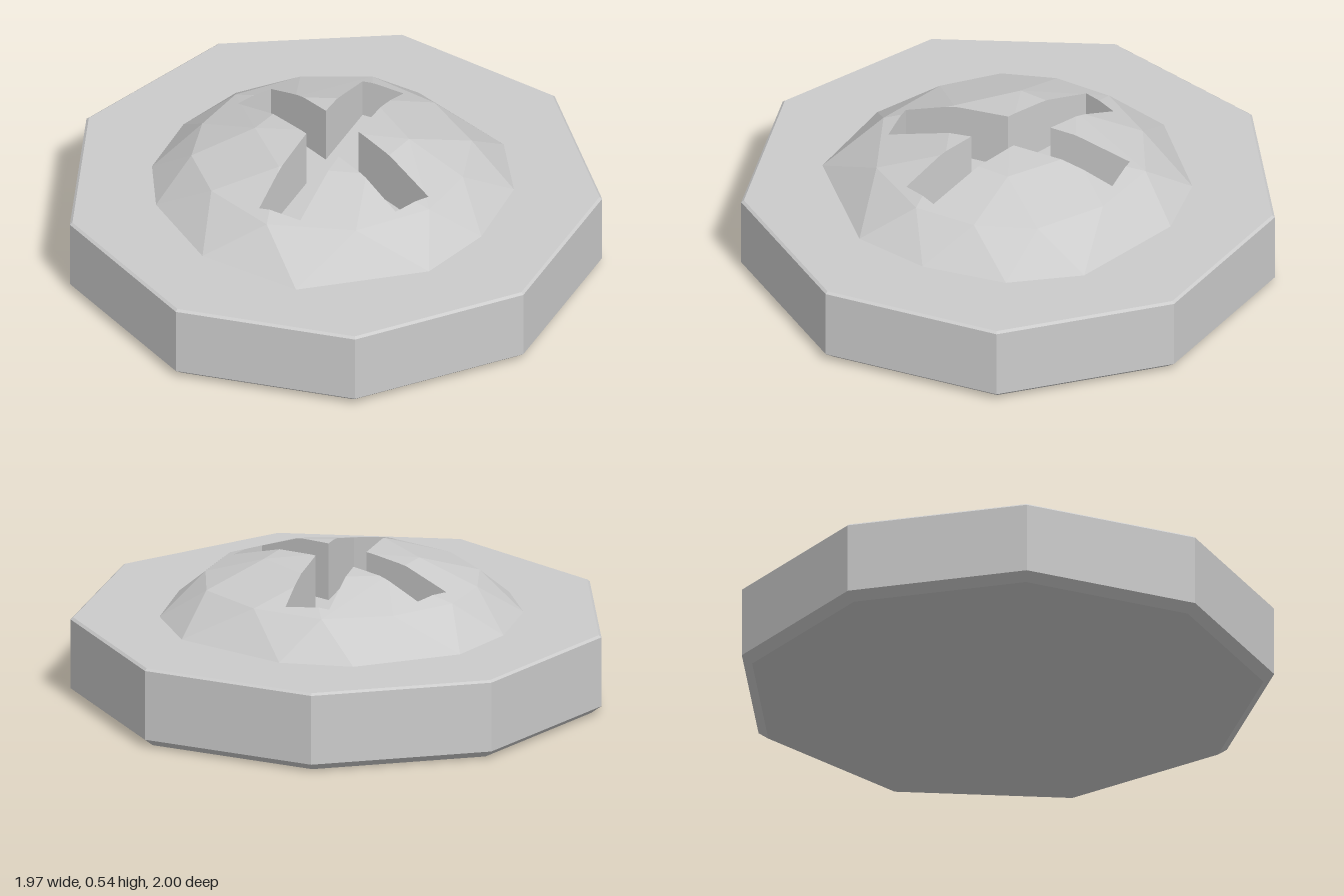
import * as THREE from 'three';

const FLOOR = 0.31, CX = 0.025;
const grey = new THREE.MeshStandardMaterial({ color: 0xcccccc, flatShading: true });

// polygons are lists of [x, y, z], counter-clockwise seen from outside
function polygonsToMesh(name, polygons) {
  const pos = [];
  for (const p of polygons)
    for (let i = 1; i + 1 < p.length; i++) pos.push(...p[0], ...p[i], ...p[i + 1]);
  const g = new THREE.BufferGeometry();
  g.setAttribute('position', new THREE.Float32BufferAttribute(pos, 3));
  g.computeVertexNormals();
  const mesh = new THREE.Mesh(g, grey);
  mesh.name = name;
  return mesh;
}

// positive when (x, z) is to the left of a -> b, seen from above
const side = (a, b, x, z) => (b[1] - a[1]) * (x - a[0]) - (b[0] - a[0]) * (z - a[1]);

// keep the part of a polygon on one side of the line a -> b
function clip(poly, a, b, sign) {
  const out = [];
  poly.forEach((p, i) => {
    const q = poly[(i + 1) % poly.length];
    const sp = sign * side(a, b, p[0], p[2]), sq = sign * side(a, b, q[0], q[2]);
    if (sp >= 0) out.push(p);
    if (sp * sq < 0) out.push(p.map((v, k) => v + (q[k] - v) * sp / (sp - sq)));
  });
  return out;
}

// cut a convex prism out of a list of polygons
function subtract(polys, cutter) {
  const kept = [];
  for (let rest of polys) {
    cutter.forEach((a, i) => {
      const b = cutter[(i + 1) % cutter.length];
      const outside = clip(rest, a, b, -1);
      if (outside.length > 2) kept.push(outside);
      rest = clip(rest, a, b, 1);
    });
  }
  return kept;
}

// faceted cap: an irregular base ring, two smaller rings and an apex
function domeFacets() {
  const base = [[0.68, 0.08], [0.66, -0.25], [0.5, -0.5], [0.07, -0.67], [-0.21, -0.64], [-0.55, -0.38],
    [-0.64, -0.11], [-0.63, 0.19], [-0.51, 0.41], [-0.21, 0.64], [0.2, 0.69], [0.6, 0.37]]
    .map(([x, z]) => [x, FLOOR, z]);
  const at = (r, i) => r[i % r.length];
  const between = (p, q, s, y) => [CX + ((p[0] + q[0]) / 2 - CX) * s, y, (p[2] + q[2]) / 2 * s];
  const mid = base.map((p, i) => between(p, at(base, i + 1), 0.79, 0.445));
  const top = [0, 2, 4, 6, 8, 10].map(i => between(mid[i], mid[i + 1], 0.57, 0.525));
  const apex = [CX, 0.545, 0];
  const tris = [];
  for (let i = 0; i < 12; i++)
    tris.push([base[i], at(base, i + 1), mid[i]], [mid[i], at(base, i + 1), at(mid, i + 1)]);
  for (let j = 0; j < 6; j++) {
    const m = mid[2 * j + 1], t = top[j], n = at(top, j + 1);
    tris.push([t, mid[2 * j], m], [t, m, n], [n, m, at(mid, 2 * j + 2)], [t, n, apex]);
  }
  return tris;
}

// height of the faceted cap above (x, z)
function heightAt(tris, x, z) {
  for (const [a, b, c] of tris) {
    const A = [a[0], a[2]], B = [b[0], b[2]], C = [c[0], c[2]];
    const u = side(B, C, x, z), v = side(C, A, x, z), w = side(A, B, x, z);
    if (u >= -1e-9 && v >= -1e-9 && w >= -1e-9) return (u * a[1] + v * b[1] + w * c[1]) / (u + v + w);
  }
  return FLOOR;
}

export function createModel() {
  const model = new THREE.Group();
  model.name = 'screwHead';

  // nine-sided disc with a small bevel underneath
  const profile = [[0, 0], [0.975, 0], [1.015, 0.03], [1.015, 0.3], [1.005, 0.308], [0, FLOOR]]
    .map(([r, y]) => new THREE.Vector2(r, y));
  const disc = new THREE.Mesh(new THREE.LatheGeometry(profile, 9, -Math.PI / 2), grey);
  disc.name = 'baseDisc';
  disc.position.x = CX;
  model.add(disc);

  // dome with two crossing slots cut through it
  const facets = domeFacets();
  const straightSlot = [[-0.06, -0.45], [-0.06, 0.46], [0.11, 0.46], [0.11, -0.45]];
  const slantedSlot = [[-0.35, -0.26], [-0.42, -0.12], [0.41, 0.26], [0.48, 0.12]];
  model.add(polygonsToMesh('dome', subtract(subtract(facets, straightSlot), slantedSlot)));

  // slot walls follow the joint outline of both slots
  const outline = [[-0.06, -0.45], [-0.06, -0.127], [-0.35, -0.26], [-0.42, -0.12], [-0.06, 0.045], [-0.06, 0.46],
    [0.11, 0.46], [0.11, 0.123], [0.41, 0.26], [0.48, 0.12], [0.11, -0.05], [0.11, -0.45]];
  const walls = [], steps = 10;
  outline.forEach((a, i) => {
    const b = outline[(i + 1) % outline.length];
    const point = k => [a[0] + (b[0] - a[0]) * k / steps, a[1] + (b[1] - a[1]) * k / steps];
    for (let k = 0; k < steps; k++) {
      const [px, pz] = point(k), [qx, qz] = point(k + 1);
      walls.push([[qx, FLOOR, qz], [px, FLOOR, pz],
        [px, heightAt(facets, px, pz), pz], [qx, heightAt(facets, qx, qz), qz]]);
    }
  });
  model.add(polygonsToMesh('slotWalls', walls));
  return model;
}
